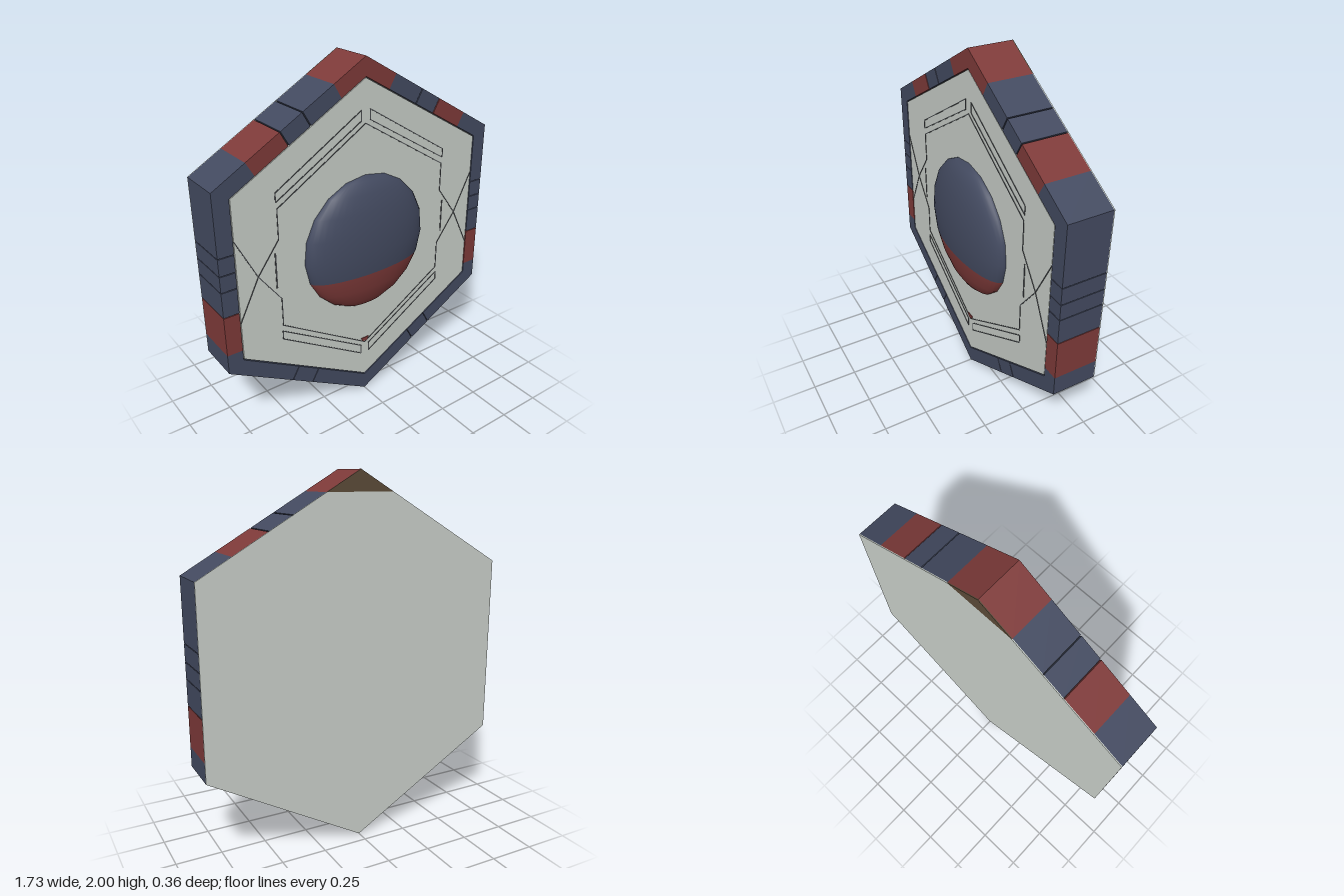
import * as THREE from 'three';

const mat = (name, color, side = THREE.FrontSide) => {
  const m = new THREE.MeshStandardMaterial({ color, side });
  m.name = name;
  return m;
};

export function createModel() {
  const navy = mat('navy', 0x434a60);
  const red = mat('dark red', 0x7e3a39);
  const grey = mat('pale grey', 0xc8cec8);
  const dark = mat('seam dark', 0x4a4d50);
  const brown = mat('brown', 0x5b4a38);

  const BACK = -0.18, FRONT = 0.07, R_IN = 0.9;
  const root = new THREE.Group();
  const face = new THREE.Group(); // origin at the centre of the hexagon
  face.position.y = 1;
  root.add(face);

  const add = (name, geometry, material, parent = face) => {
    const mesh = new THREE.Mesh(geometry, material);
    mesh.name = name;
    parent.add(mesh);
    return mesh;
  };
  const group = (name) => {
    const g = new THREE.Group();
    g.name = name;
    face.add(g);
    return g;
  };
  // Flat prism through the given corners between two depths
  const prism = (points, z0, z1) => {
    const shape = new THREE.Shape(points.map(([x, y]) => new THREE.Vector2(x, y)));
    const g = new THREE.ExtrudeGeometry(shape, { depth: z1 - z0, bevelEnabled: false });
    return g.translate(0, 0, z0);
  };
  // Corner i of a pointed-top hexagon, running clockwise from the top
  const corner = (i, r) => [r * Math.sin(i * Math.PI / 3), r * Math.cos(i * Math.PI / 3)];
  const hexagon = (r) => [0, 1, 2, 3, 4, 5].map((i) => corner(i, r));

  // Main body, and a recessed core seen through the rim joints
  add('frontPanel', prism(hexagon(0.894), BACK + 0.005, FRONT - 0.002), grey);
  add('rimCore', prism(hexagon(0.985), BACK + 0.005, FRONT - 0.015), dark);

  // Back plate with its separate top corner
  const cutX = 0.19, cutY = 1 - cutX / Math.sqrt(3);
  add('backPlate', prism([[cutX, cutY], ...hexagon(1).slice(1), [-cutX, cutY]], BACK, BACK + 0.005), grey);
  add('backCorner', prism([[0, 1], [cutX, cutY], [-cutX, cutY]], BACK, BACK + 0.005), brown);

  // Rim: blocks along each edge as [start, end, material], mitred at the corners
  const topEdge = [
    [0, 0.22, red], [0.22, 0.425, navy], [0.431, 0.569, navy],
    [0.575, 0.79, red], [0.79, 1, navy],
  ];
  const sideEdge = [
    [0, 0.335, navy], [0.339, 0.43, navy], [0.434, 0.52, navy],
    [0.524, 0.663, navy], [0.667, 0.89, red], [0.89, 1, navy],
  ];
  const bottomEdge = [[0, 0.425, navy], [0.429, 0.571, navy], [0.575, 1, navy]];
  const rim = group('rim');
  const inset = (1 - R_IN) / 2; // shortening of the inner side at a mitre
  [topEdge, sideEdge, bottomEdge].forEach((edge, i) => {
    const [ax, ay] = corner(i, 1), [bx, by] = corner(i + 1, 1);
    const dx = bx - ax, dy = by - ay;
    const depth = (1 - R_IN) * Math.cos(Math.PI / 6);
    const at = (t, d) => [ax + dx * t + dy * d, ay + dy * t - dx * d];
    for (const [t0, t1, material] of edge) {
      const points = [
        at(t0, 0), at(t1, 0),
        at(t1 === 1 ? 1 - inset : t1, depth), at(t0 === 0 ? inset : t0, depth),
      ];
      for (const s of [1, -1]) {
        add('rimBlock', prism(points.map(([x, y]) => [s * x, y]), BACK + 0.005, FRONT), material, rim);
      }
    }
  });

  // Thin seams on the front panel
  const seams = group('panelSeams');
  const seam = ([x0, y0], [x1, y1], width = 0.005) => {
    const g = new THREE.BoxGeometry(Math.hypot(x1 - x0, y1 - y0), width, 0.003);
    const mesh = add('seam', g, dark, seams);
    mesh.position.set((x0 + x1) / 2, (y0 + y1) / 2, FRONT - 0.001);
    mesh.rotation.z = Math.atan2(y1 - y0, x1 - x0);
  };
  const slot = [[0.028, 0.735], [0.54, 0.42], [0.54, 0.37], [0.028, 0.68]];
  const frame = [[0, 0.665], [0.535, 0.335], [0.535, 0.17], [0.66, 0], [0.775, -0.23]];
  for (const sx of [1, -1]) {
    for (const sy of [1, -1]) {
      const flip = ([x, y]) => [x * sx, y * sy];
      slot.forEach((p, i) => seam(flip(p), flip(slot[(i + 1) % 4])));
      for (let i = 1; i < frame.length; i++) seam(flip(frame[i - 1]), flip(frame[i]));
    }
    seam([sx * 0.558, -0.1], [sx * 0.558, 0.1], 0.008);
  }
  add('lowerMark', prism([[-0.026, -0.632], [-0.015, -0.655], [0.015, -0.655], [0.026, -0.632]],
    FRONT - 0.003, FRONT + 0.002), red);

  // Shallow dome, split by a level line into two colours
  const dome = group('dome');
  const split = Math.acos(-0.145 / 0.39);
  const cap = (name, start, end, rows, material) => {
    const g = new THREE.SphereGeometry(0.39, 20, rows, 0, Math.PI, start, end - start);
    g.scale(1, 1, 0.112 / 0.39);
    add(name, g, material, dome).position.z = FRONT - 0.002;
  };
  cap('domeUpper', 0, split, 6, navy);
  cap('domeLower', split, Math.PI, 4, red);

  return root;
}
